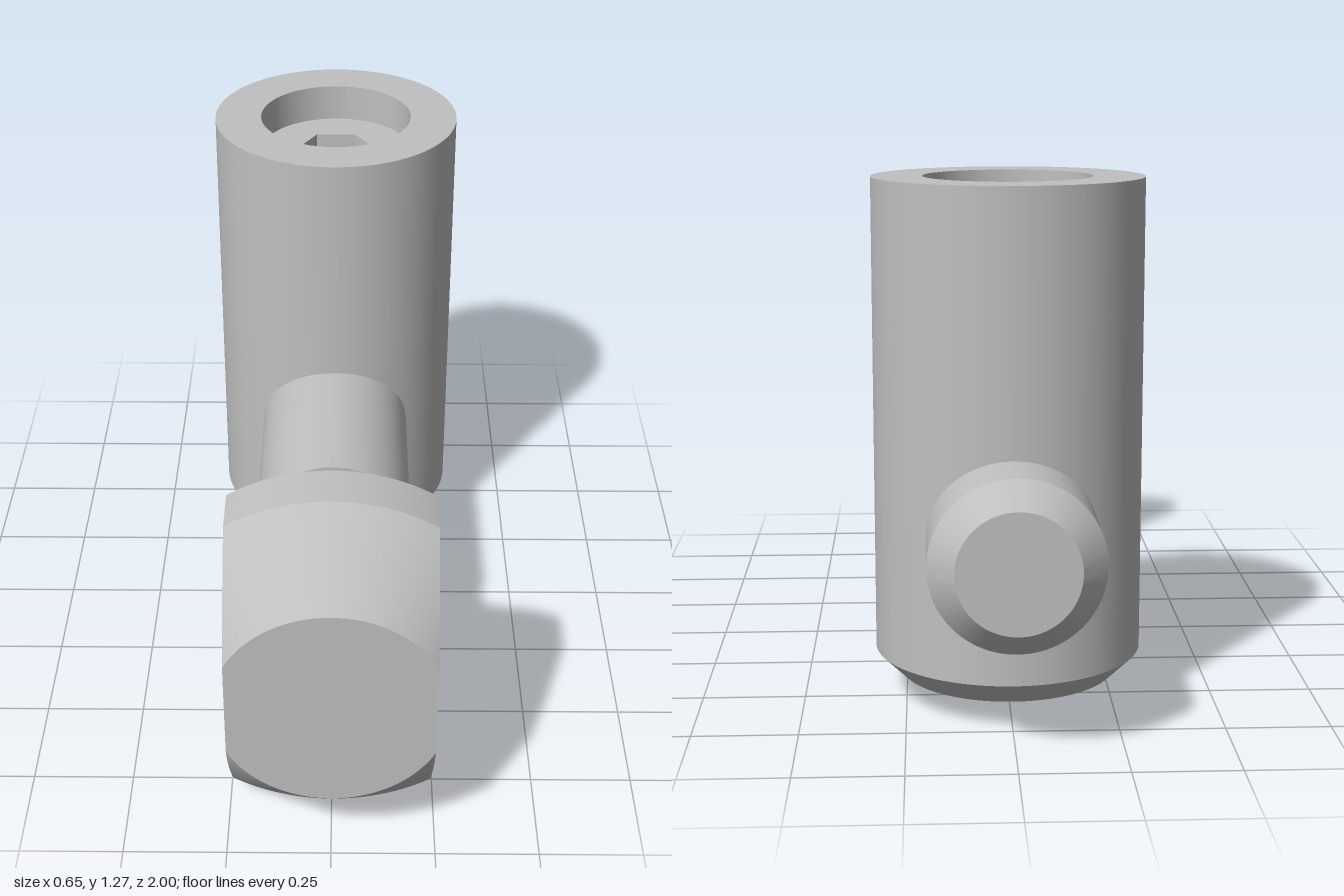
import * as THREE from 'three';
import { toCreasedNormals } from 'three/addons/utils/BufferGeometryUtils.js';

const CREASE = 0.5;
const SEGMENTS = 96;
const AXIS_Y = 0.455;   // height of the bolt axis
const BODY_Z = -0.455;  // depth of the upright body axis

const steel = new THREE.MeshStandardMaterial({ color: 0xc0c0c0 });
steel.name = 'steel';

function part(name, geometry, x = 0, y = 0, z = 0) {
  const mesh = new THREE.Mesh(toCreasedNormals(geometry, CREASE), steel);
  mesh.name = name;
  mesh.position.set(x, y, z);
  return mesh;
}

function lathe(points, segments = SEGMENTS) {
  return new THREE.LatheGeometry(points.map(([r, y]) => new THREE.Vector2(r, y)), segments);
}

// Disc outline of radius r cut flat at x = +-halfWidth, counter-clockwise
function cutDisc(r, halfWidth, z, steps = 32) {
  const start = Math.acos(halfWidth / r);
  const ring = [];
  for (const base of [0, Math.PI]) {
    for (let i = 0; i <= steps; i++) {
      const a = base + start + (Math.PI - 2 * start) * i / steps;
      ring.push(new THREE.Vector3(r * Math.cos(a), r * Math.sin(a), z));
    }
  }
  return ring;
}

// Turned head with a conical nose and two flat sides
function headGeometry() {
  const back = 0.70, shoulder = 0.82, front = 1.0;
  const rings = [cutDisc(0.455, 0.242, back)];
  const slices = 12;
  for (let i = 0; i <= slices; i++) {
    const t = i / slices;
    rings.push(cutDisc(0.455 - 0.182 * t, 0.242, shoulder + (front - shoulder) * t));
  }
  const triangles = [];
  const n = rings[0].length;
  const last = rings[rings.length - 1];
  const backCentre = new THREE.Vector3(0, 0, back);
  const frontCentre = new THREE.Vector3(0, 0, front);
  for (let j = 0; j < n; j++) {
    const k = (j + 1) % n;
    for (let i = 0; i < rings.length - 1; i++) {
      const a = rings[i][j], b = rings[i][k], c = rings[i + 1][k], d = rings[i + 1][j];
      triangles.push(a, b, c, a, c, d);
    }
    triangles.push(backCentre, rings[0][k], rings[0][j]);
    triangles.push(frontCentre, last[j], last[k]);
  }
  return new THREE.BufferGeometry().setFromPoints(triangles);
}

export function createModel() {
  const model = new THREE.Group();
  model.name = 'crossBoltConnector';

  // Bolt: head, collar, grooved shank and chamfered tip
  const bolt = new THREE.Group();
  bolt.name = 'bolt';
  bolt.position.y = AXIS_Y;
  const shank = lathe([
    [0, -1], [0.14, -1], [0.2, -0.94], [0.2, 0.32], [0.187, 0.32], [0.187, 0.44],
    [0.2, 0.44], [0.2, 0.64], [0.24, 0.64], [0.24, 0.70],
  ]).rotateX(Math.PI / 2);
  bolt.add(part('shank', shank), part('head', headGeometry()));

  // Upright body with a chamfered foot and an open counterbore
  const body = new THREE.Group();
  body.name = 'body';
  body.position.z = BODY_Z;
  const floorY = 1.175, boreRadius = 0.202, hexRadius = 0.107;
  body.add(part('barrel', lathe([
    [0, 0.062], [0.265, 0.062], [0.325, 0.122], [0.325, 1.272],
    [boreRadius, 1.272], [boreRadius, floorY],
  ])));

  // Set screw face with its hexagonal socket
  const face = new THREE.Shape().absarc(0, 0, boreRadius, 0, Math.PI * 2);
  const hex = [];
  for (let i = 0; i < 6; i++) {
    const a = i * Math.PI / 3;
    hex.push(new THREE.Vector2(hexRadius * Math.cos(a), hexRadius * Math.sin(a)));
  }
  face.holes.push(new THREE.Path(hex));
  const faceGeometry = new THREE.ShapeGeometry(face, SEGMENTS).rotateX(-Math.PI / 2);
  const socket = lathe([[hexRadius, 0], [hexRadius, -0.2], [0, -0.2]], 6).rotateY(Math.PI / 2);
  body.add(part('screwFace', faceGeometry, 0, floorY), part('hexSocket', socket, 0, floorY));

  model.add(bolt, body);
  return model;
}
